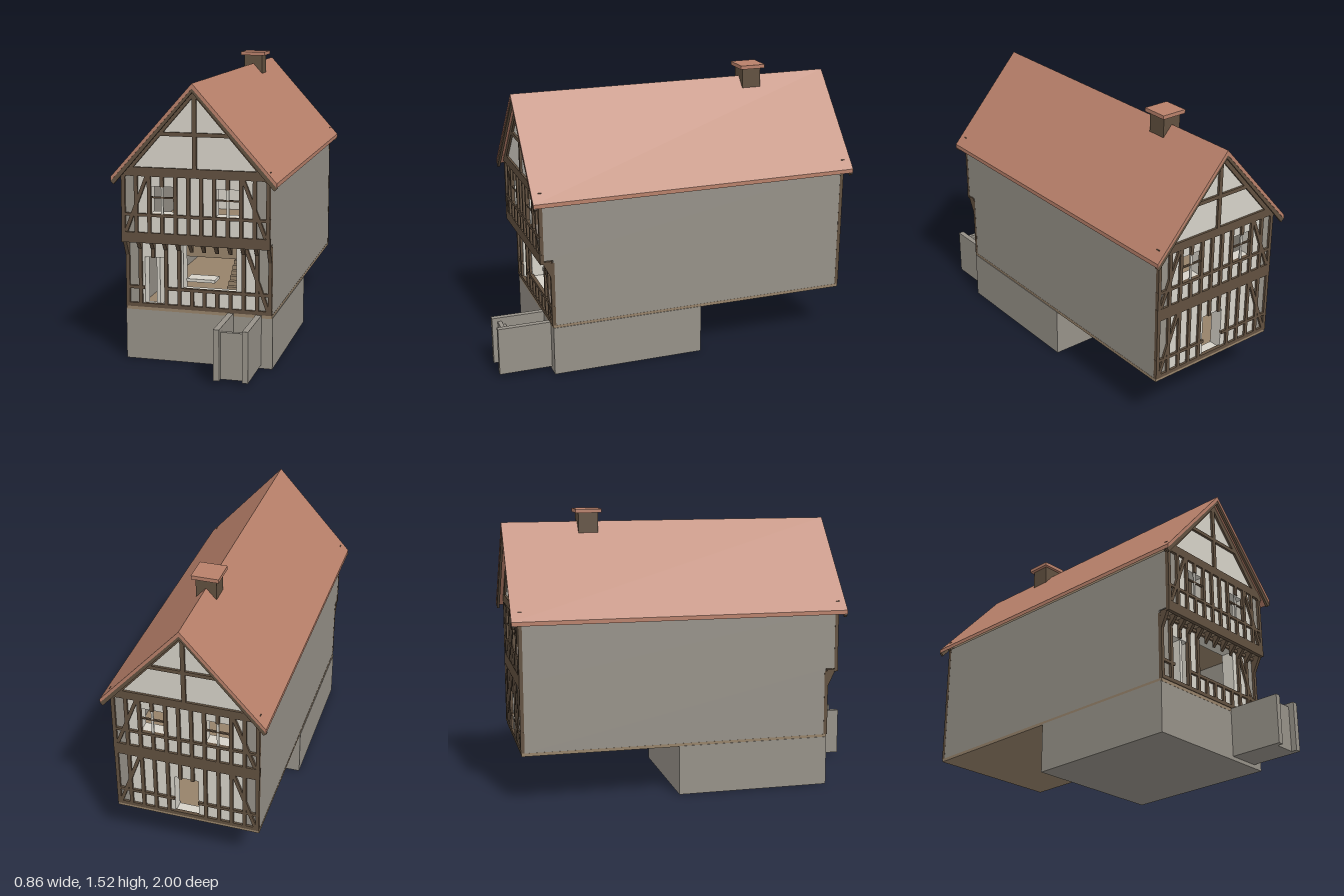
import * as THREE from 'three';

const mat = (name, color) => Object.assign(new THREE.MeshStandardMaterial({ color }), { name });

export function createModel() {
  const plaster = mat('plaster', 0xd6d2c8);
  const stone = mat('stone', 0x969188);
  const timber = mat('dark timber', 0x61503f);
  const wood = mat('floor boards', 0x96826a);
  const tile = mat('roof tile', 0xb8806a);
  const house = new THREE.Group();
  house.name = 'timberFramedHouse';

  const add = (parent, name, geo, m) => {
    const mesh = new THREE.Mesh(geo, m);
    mesh.name = name;
    parent.add(mesh);
    return mesh;
  };
  // Box given by its two extreme corners
  const box = (parent, name, m, x0, x1, y0, y1, z0, z1) => {
    const mesh = add(parent, name, new THREE.BoxGeometry(x1 - x0, y1 - y0, z1 - z0), m);
    mesh.position.set((x0 + x1) / 2, (y0 + y1) / 2, (z0 + z1) / 2);
    return mesh;
  };
  const group = (name) => {
    const g = new THREE.Group();
    g.name = name;
    house.add(g);
    return g;
  };
  const outline = (pts) => new THREE.Shape(pts.map(([x, y]) => new THREE.Vector2(x, y)));
  const rect = ([x0, x1, y0, y1]) => [[x0, y0], [x1, y0], [x1, y1], [x0, y1]];
  // Upright slab with rectangular openings
  const slab = (parent, name, m, pts, z0, z1, holes = []) => {
    const shape = outline(pts);
    shape.holes = holes.map((h) => outline(rect(h)));
    const geo = new THREE.ExtrudeGeometry(shape, { depth: z1 - z0, bevelEnabled: false });
    add(parent, name, geo, m).position.z = z0;
  };
  // Timber of width w between two points on a facade
  const beam = (parent, name, x0, y0, x1, y1, w, z, d = 0.02) => {
    const mesh = add(parent, name, new THREE.BoxGeometry(Math.hypot(x1 - x0, y1 - y0), w, d), timber);
    mesh.position.set((x0 + x1) / 2, (y0 + y1) / 2, z);
    mesh.rotation.z = Math.atan2(y1 - y0, x1 - x0);
  };

  // Cellar and ground floor
  box(house, 'cellar', stone, -0.388, 0.388, 0, 0.268, -0.12, 0.715);
  box(house, 'groundFloor', wood, -0.385, 0.385, 0.265, 0.282, -0.96, 0.716);

  // Outside steps leading down to the cellar
  const steps = group('cellarSteps');
  for (const x of [0.155, 0.3]) box(steps, 'stepWall', stone, x, x + 0.03, 0.02, 0.28, 0.715, 1);
  for (let i = 0; i < 12; i++) {
    const z = 0.715 + i * 0.02125;
    box(steps, 'step', stone, 0.185, 0.3, 0.02, 0.04 + i * 0.02, z, z + 0.02125);
  }

  // Stone side walls, the upper storey jettied at the front
  for (const s of [-1, 1]) {
    const x0 = s < 0 ? -0.384 : 0.316;
    box(house, 'lowerSideWall', stone, x0, x0 + 0.068, 0.28, 0.65, -0.952, 0.706);
    box(house, 'upperSideWall', stone, x0, x0 + 0.068, 0.65, 0.975, -0.952, 0.761);
  }

  // Inner floors, partition, gallery panel and stair
  box(house, 'upperFloor', wood, -0.375, 0.375, 0.645, 0.67, -0.95, 0.757);
  box(house, 'atticFloor', wood, -0.375, 0.375, 0.975, 0.995, -0.95, 0.757);
  box(house, 'upperPartition', plaster, -0.316, 0.316, 0.67, 0.975, -0.02, 0.02);
  box(house, 'galleryPanel', wood, -0.316, 0.316, 0.43, 0.645, 0.18, 0.2);
  for (let i = 0; i < 7; i++) {
    box(house, 'innerStep', wood, 0.07, 0.19, 0.28, 0.305 + i * 0.022, 0.4 - i * 0.03, 0.43 - i * 0.03);
  }

  // Openings: x0, x1, y0, y1
  const frontLower = [[-0.285, -0.17, 0.29, 0.545], [-0.08, 0.2, 0.383, 0.62]];
  const backLower = [[-0.06, 0.068, 0.29, 0.525]];
  const windows = [[-0.235, -0.105, 0.785, 0.925], [0.105, 0.235, 0.785, 0.925]];
  const studs = [-0.375, -0.307, -0.238, -0.17, -0.1, -0.033, 0.033, 0.1, 0.17, 0.238, 0.307, 0.375];

  // Stud cut away wherever it crosses an opening
  const stud = (g, x, y0, y1, z, holes) => {
    const hole = holes.find(([a, b]) => x > a + 0.003 && x < b - 0.003);
    const spans = hole ? [[y0, hole[2]], [hole[3], y1]] : [[y0, y1]];
    for (const [a, b] of spans) if (b - a > 0.012) beam(g, 'stud', x, a, x, b, 0.019, z);
  };
  // Horizontal rail, interrupted at any opening it crosses
  const rail = (g, y, w, z, holes) => {
    let x = -0.385;
    for (const h of holes.filter((k) => y > k[2] + 0.01 && y < k[3] - 0.01)) {
      beam(g, 'rail', x, y, h[0], y, w, z);
      x = h[1];
    }
    beam(g, 'rail', x, y, 0.385, y, w, z);
  };

  // One timber-framed end; dir is +1 for the front, -1 for the back
  const facade = (name, dir, zLow, zUp, lower) => {
    const g = group(name);
    const inner = (z) => [Math.min(z, z - dir * 0.07), Math.max(z, z - dir * 0.07)];
    const low = zLow - dir * 0.012, up = zUp - dir * 0.012;
    const tLow = zLow - dir * 0.01, tUp = zUp - dir * 0.01;
    slab(g, 'lowerPlaster', plaster, rect([-0.316, 0.316, 0.28, 0.65]), ...inner(low), lower);
    slab(g, 'upperPlaster', plaster, rect([-0.316, 0.316, 0.65, 0.98]), ...inner(up), windows);
    slab(g, 'gablePlaster', plaster, [[-0.38, 0.985], [0.38, 0.985], [0, 1.418]],
      Math.min(up, up - dir * 0.02), Math.max(up, up - dir * 0.02));
    // Main horizontals
    rail(g, 0.292, 0.02, tLow, lower);
    rail(g, 0.385, 0.016, tLow, lower);
    rail(g, 0.628, 0.016, tLow, lower);
    rail(g, 0.778, 0.015, tUp, []);
    beam(g, 'storeyBeam', -0.386, 0.66, 0.386, 0.66, 0.054, tUp);
    beam(g, 'tieBeam', -0.386, 0.999, 0.386, 0.999, 0.046, tUp);
    for (const x of studs) {
      stud(g, x, 0.282, 0.635, tLow, lower);
      stud(g, x, 0.685, 0.978, tUp, windows);
    }
    // Windows
    for (const [a, b, y0, y1] of windows) {
      beam(g, 'windowBar', a, 0.87, b, 0.87, 0.008, tUp, 0.01);
      box(g, 'windowPost', plaster, (a + b) / 2 - 0.006, (a + b) / 2 + 0.006, y0, y1, tUp - 0.004, tUp + 0.004);
    }
    // Braces, gable post, collar and rafters
    for (const s of [-1, 1]) {
      beam(g, 'upperBrace', s * 0.25, 0.975, s * 0.362, 0.69, 0.018, tUp);
      if (dir < 0 || s > 0) beam(g, 'lowerBrace', s * 0.25, 0.62, s * 0.365, 0.3, 0.018, tLow);
      beam(g, 'rafter', 0, 1.408, s * 0.385, 0.968, 0.03, tUp);
      beam(g, 'bargeBoard', 0, 1.422, s * 0.42, 0.943, 0.022, dir > 0 ? 0.8 : -0.99, 0.014);
    }
    beam(g, 'gablePost', 0, 1.02, 0, 1.41, 0.022, tUp);
    beam(g, 'collarBeam', -0.205, 1.193, 0.205, 1.193, 0.02, tUp);
    return g;
  };
  const front = facade('frontFacade', 1, 0.72, 0.775, frontLower);
  facade('backFacade', -1, -0.964, -0.964, backLower);

  // Open front door leaf and shop counter
  box(front, 'doorLeaf', plaster, -0.225, -0.207, 0.285, 0.545, 0.58, 0.7);
  box(front, 'counter', plaster, -0.08, 0.07, 0.412, 0.428, 0.56, 0.65);

  // Jetty brackets under the upper storey
  for (const x of studs) {
    const tall = Math.abs(x) > 0.35 ? 0.1 : 0.06;
    const geo = new THREE.ExtrudeGeometry(outline([[0.715, 0.645], [0.715, 0.645 - tall], [0.765, 0.645]]),
      { depth: 0.019, bevelEnabled: false });
    const bracket = add(front, 'jettyBracket', geo, timber);
    bracket.rotation.y = -Math.PI / 2;
    bracket.position.x = x + 0.0095;
  }

  // Roof
  slab(house, 'roof', tile, [[0, 1.45], [-0.425, 0.975], [-0.425, 0.953], [0, 1.425], [0.425, 0.953], [0.425, 0.975]], -1, 0.81);

  // Chimney
  const chimney = group('chimney');
  box(chimney, 'chimneyStack', timber, -0.053, 0.053, 1.385, 1.5, -0.593, -0.487);
  box(chimney, 'chimneyCap', tile, -0.071, 0.071, 1.498, 1.518, -0.611, -0.469);

  return house;
}
